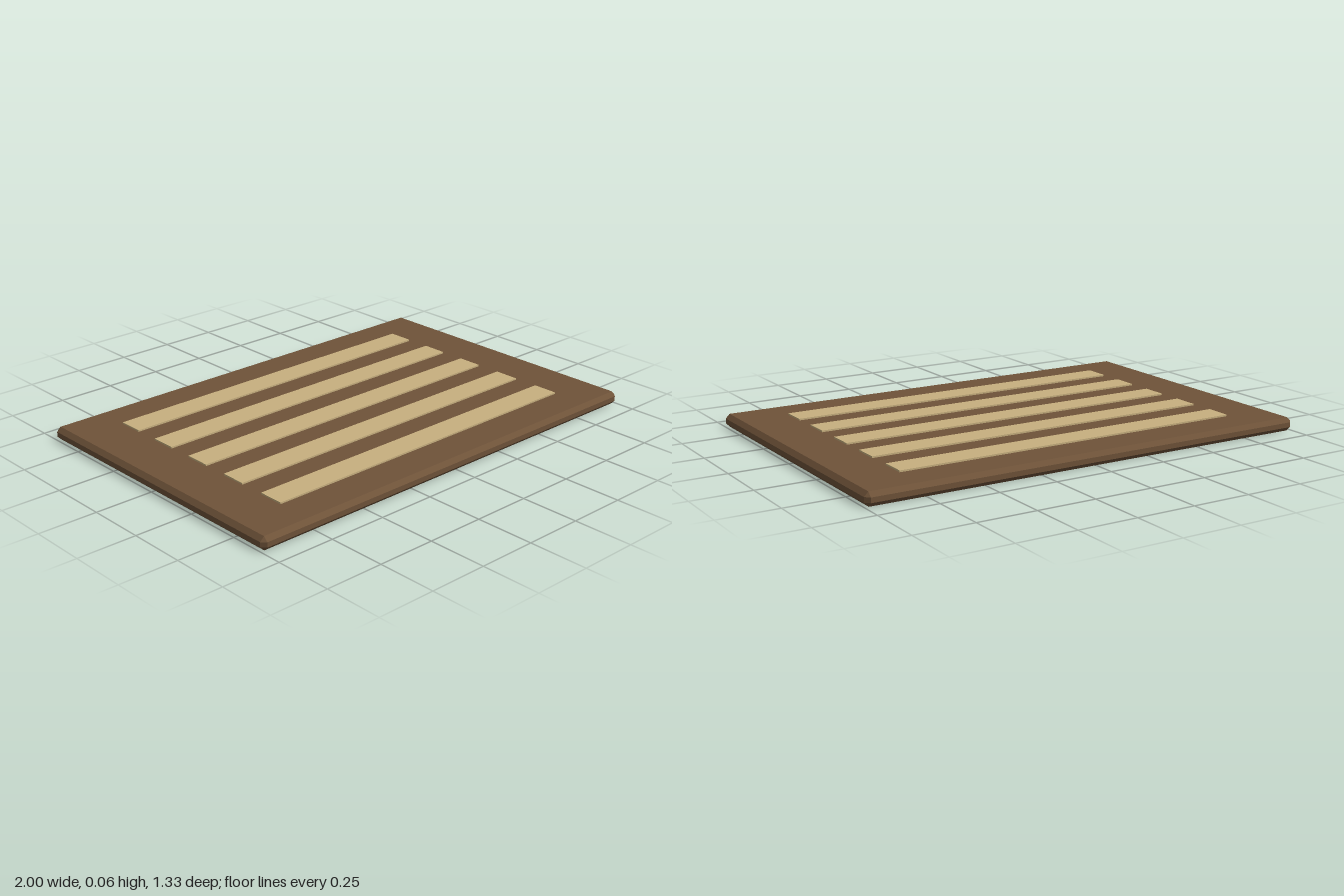
import * as THREE from 'three';
import { ConvexGeometry } from 'three/addons/geometries/ConvexGeometry.js';

// Box whose edges and corners are all cut by a flat chamfer
function chamferBox(w, h, d, c) {
  const points = [];
  for (const x of [-w / 2, w / 2])
    for (const y of [-h / 2, h / 2])
      for (const z of [-d / 2, d / 2])
        for (let axis = 0; axis < 3; axis++) {
          const p = new THREE.Vector3(x, y, z);
          for (let i = 0; i < 3; i++) {
            if (i !== axis) p.setComponent(i, p.getComponent(i) - Math.sign(p.getComponent(i)) * c);
          }
          points.push(p);
        }
  return new ConvexGeometry(points);
}

export function createModel() {
  const group = new THREE.Group();
  group.name = 'doormat';

  // Chamfered slab
  const matHeight = 0.057;
  const brown = new THREE.MeshStandardMaterial({ color: 0x6f5339, flatShading: true });
  const mat = new THREE.Mesh(chamferBox(2, matHeight, 1.333, 0.018), brown);
  mat.name = 'mat';
  mat.position.y = matHeight / 2;
  group.add(mat);

  // Five raised stripes, sunk slightly into the slab
  const tan = new THREE.MeshStandardMaterial({ color: 0xc8b07f, flatShading: true });
  const stripeGeometry = new THREE.BoxGeometry(1.556, 0.022, 0.111);
  for (let i = -2; i <= 2; i++) {
    const stripe = new THREE.Mesh(stripeGeometry, tan);
    stripe.name = `stripe${i + 3}`;
    stripe.position.set(0, 0.053, i * 0.222);
    group.add(stripe);
  }
  return group;
}
